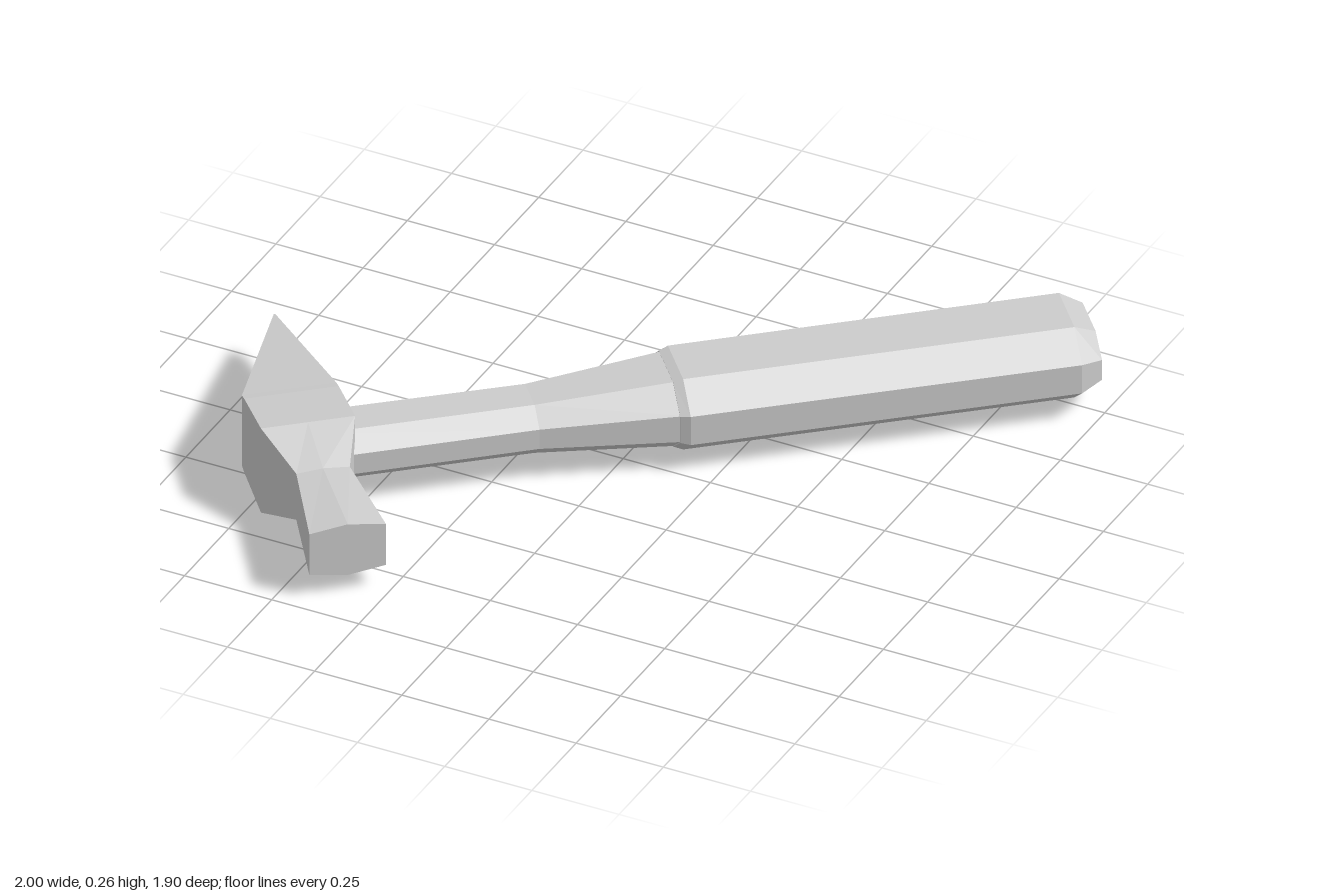
import * as THREE from 'three';

const material = new THREE.MeshStandardMaterial({ color: 0xcccccc, flatShading: true });

// Skin a list of rings (counter-clockwise seen from the last ring) and cap both ends.
function loft(name, rings) {
  const pos = [];
  const tri = (...pts) => pts.forEach((p) => pos.push(...p));
  const n = rings[0].length;
  for (let k = 0; k < rings.length - 1; k++) {
    const a = rings[k], b = rings[k + 1];
    for (let i = 0; i < n; i++) {
      const j = (i + 1) % n;
      tri(a[i], a[j], b[j]);
      tri(a[i], b[j], b[i]);
    }
  }
  const first = rings[0], last = rings[rings.length - 1];
  for (let i = 1; i < n - 1; i++) {
    tri(first[0], first[i + 1], first[i]);
    tri(last[0], last[i], last[i + 1]);
  }
  const geometry = new THREE.BufferGeometry();
  geometry.setAttribute('position', new THREE.Float32BufferAttribute(pos, 3));
  geometry.computeVertexNormals();
  const mesh = new THREE.Mesh(geometry, material);
  mesh.name = name;
  return mesh;
}

// Flattened octagon across the handle (along x): half height h, half width w, centre c.
function handleRing([x, w, h, c]) {
  const shape = [[1, -0.5], [1, 0.5], [0.4, 1], [-0.4, 1], [-1, 0.5], [-1, -0.5], [-0.4, -1], [0.4, -1]];
  return shape.map(([y, z]) => [x, 0.132 + y * h, c + z * w]);
}

// Six-sided section across the head (along z): x range, half height at sides and middle.
function headRing([z, x0, x1, side, mid]) {
  const m = (x0 + x1) / 2, y = 0.128;
  return [
    [x1, y - side, z], [x1, y + side, z], [m, y + mid, z],
    [x0, y + side, z], [x0, y - side, z], [m, y - mid, z],
  ];
}

export function createModel() {
  const group = new THREE.Group();
  group.name = 'hammer';

  // Everything is built along the handle, then turned to lie diagonally.
  const tool = new THREE.Group();
  tool.name = 'hammerBody';
  tool.rotation.y = 0.712;
  group.add(tool);

  // Slim shaft flaring towards the grip
  tool.add(loft('shaft', [
    [-0.8, 0.106, 0.073, -0.046],
    [-0.235, 0.102, 0.073, -0.043],
    [0.14, 0.15, 0.098, -0.049],
  ].map(handleRing)));

  // Thick grip with bevelled ends
  tool.add(loft('grip', [
    [0.125, 0.152, 0.098, -0.049],
    [0.15, 0.163, 0.107, -0.049],
    [1.18, 0.166, 0.107, -0.049],
    [1.24, 0.138, 0.075, -0.052],
  ].map(handleRing)));

  // Head: pointed pick, eye block, neck and striking face
  tool.add(loft('head', [
    [-0.653, -0.759, -0.755, 0.02, 0.02],
    [-0.17, -0.962, -0.713, 0.107, 0.107],
    [-0.145, -0.962, -0.713, 0.112, 0.112],
    [0.025, -0.96, -0.712, 0.128, 0.128],
    [0.167, -0.902, -0.761, 0.07, 0.076],
    [0.44, -0.935, -0.733, 0.062, 0.077],
  ].map(headRing)));

  return group;
}
